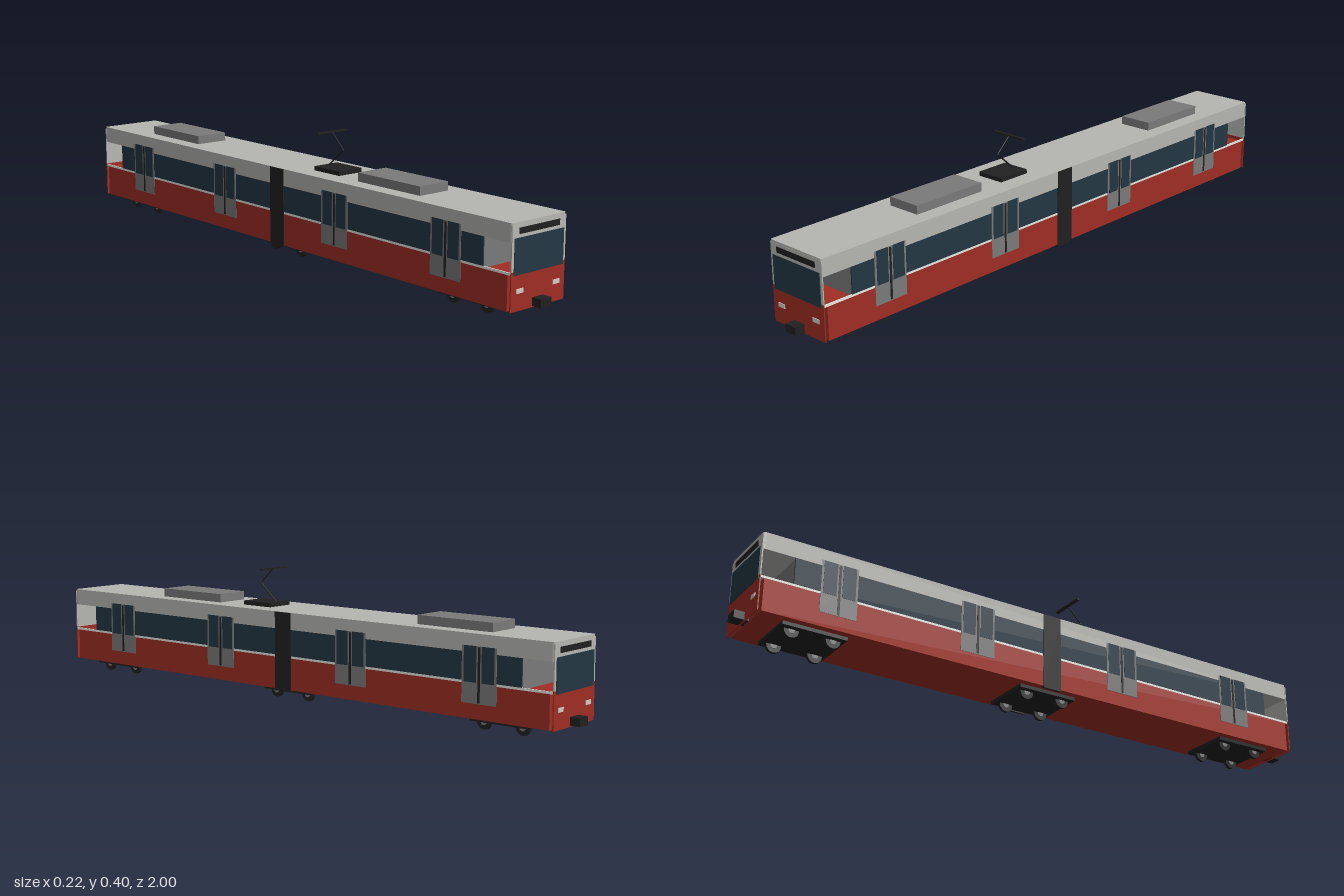
import * as THREE from 'three';

const mat = (name, color) => {
  const m = new THREE.MeshStandardMaterial({ color });
  m.name = name;
  return m;
};

export function createModel() {
  const tram = new THREE.Group();
  tram.name = 'tram';
  const red = mat('red paint', 0xa02d24);
  const pale = mat('pale grey paint', 0xb6b6b2);
  const white = mat('white trim', 0xe8e8e4);
  const glass = mat('dark glass', 0x243744);
  const grey = mat('mid grey', 0x7a7a7a);
  const black = mat('black', 0x202021);
  const lamp = mat('lamp', 0xd2cec4);

  // box given by its limits on each axis
  const box = (name, m, [x0, x1], [y0, y1], [z0, z1], parent = tram) => {
    const mesh = new THREE.Mesh(new THREE.BoxGeometry(x1 - x0, y1 - y0, z1 - z0), m);
    mesh.position.set((x0 + x1) / 2, (y0 + y1) / 2, (z0 + z1) / 2);
    mesh.name = name;
    parent.add(mesh);
    return mesh;
  };
  const rod = (name, m, a, b, r) => {
    const mesh = new THREE.Mesh(new THREE.CylinderGeometry(r, r, a.distanceTo(b), 8), m);
    mesh.position.copy(a).lerp(b, 0.5);
    mesh.quaternion.setFromUnitVectors(new THREE.Vector3(0, 1, 0), b.clone().sub(a).normalize());
    mesh.name = name;
    tram.add(mesh);
  };

  // body: red lower hull, saloon core and roof
  box('lowerBody', red, [-0.106, 0.106], [0.036, 0.136], [-0.955, 0.955]);
  box('saloonCore', grey, [-0.104, 0.104], [0.136, 0.225], [-0.864, 0.864]);

  const w = 0.107, l = 0.968, r = 0.008;
  const outline = new THREE.Shape();
  outline.moveTo(-w + r, -l);
  outline.lineTo(w - r, -l);
  outline.quadraticCurveTo(w, -l, w, -l + r);
  outline.lineTo(w, l - r);
  outline.quadraticCurveTo(w, l, w - r, l);
  outline.lineTo(-w + r, l);
  outline.quadraticCurveTo(-w, l, -w, l - r);
  outline.lineTo(-w, -l + r);
  outline.quadraticCurveTo(-w, -l, -w + r, -l);
  const roofGeo = new THREE.ExtrudeGeometry(outline, { depth: 0.053, bevelEnabled: false, curveSegments: 4 });
  roofGeo.rotateX(-Math.PI / 2);
  const roof = new THREE.Mesh(roofGeo, pale);
  roof.position.y = 0.225;
  roof.name = 'roof';
  tram.add(roof);

  // sides: window band, belt trim, doors and the joint cover
  for (const s of [1, -1]) {
    const side = new THREE.Group();
    side.name = s > 0 ? 'leftSide' : 'rightSide';
    tram.add(side);
    const plate = (name, m, x, y, z) => {
      const xs = s > 0 ? [0.102, x] : [-x, -0.102];
      return box(name, m, xs, y, z, side);
    };
    plate('windowBand', glass, 0.106, [0.143, 0.225], [-0.866, 0.866]);
    plate('beltTrim', white, 0.1058, [0.136, 0.143], [-0.966, 0.966]);
    plate('jointCover', black, 0.1085, [0.03, 0.2775], [-0.032, 0.032]);
    for (const z of [-0.727, -0.267, 0.267, 0.727]) {
      plate('door', grey, 0.1075, [0.08, 0.243], [z - 0.058, z + 0.058]);
      plate('doorSeam', black, 0.108, [0.083, 0.24], [z - 0.004, z + 0.004]);
      for (const k of [-1, 1])
        plate('doorWindow', glass, 0.1083, [0.14, 0.243], [z + k * 0.03 - 0.021, z + k * 0.03 + 0.021]);
    }
  }

  // both ends, the rear one turned around
  for (const turn of [0, Math.PI]) {
    const end = new THREE.Group();
    end.name = turn ? 'rearEnd' : 'frontEnd';
    end.rotation.y = turn;
    tram.add(end);
    box('endPanel', pale, [-0.107, 0.107], [0.145, 0.272], [0.965, 0.9685], end);
    box('endApron', red, [-0.107, 0.107], [0.035, 0.145], [0.965, 0.9685], end);
    box('windscreen', glass, [-0.098, 0.098], [0.135, 0.236], [0.966, 0.9705], end);
    box('signPanel', black, [-0.08, 0.08], [0.246, 0.263], [0.966, 0.9705], end);
    for (const s of [-1, 1])
      box('headlight', lamp, [s * 0.0725 - 0.0135, s * 0.0725 + 0.0135], [0.084, 0.097], [0.966, 0.9705], end);
    box('coupler', black, [-0.021, 0.021], [0.039, 0.063], [0.95, 1.0], end);
  }

  // bogies with wheels
  for (const z of [-0.781, 0, 0.781]) {
    box('bogieFrame', black, [-0.083, 0.083], [0.025, 0.037], [z - 0.1, z + 0.1]);
    for (const dz of [-0.064, 0.064])
      for (const s of [-1, 1]) {
        for (const [name, m, rad, len] of [['wheel', black, 0.023, 0.01], ['wheelHub', grey, 0.01, 0.013]]) {
          const wheel = new THREE.Mesh(new THREE.CylinderGeometry(rad, rad, len, 16), m);
          wheel.rotation.z = Math.PI / 2;
          wheel.position.set(s * 0.059, 0.023, z + dz);
          wheel.name = name;
          tram.add(wheel);
        }
      }
  }

  // roof equipment
  for (const z of [0.445, -0.607])
    box('roofUnit', grey, [-0.056, 0.056], [0.278, 0.305], [z - 0.13, z + 0.13]);
  box('pantographBase', black, [-0.046, 0.046], [0.278, 0.291], [0.107, 0.22]);
  const foot = new THREE.Vector3(0, 0.288, 0.118);
  const knee = new THREE.Vector3(0, 0.348, 0.187);
  const head = new THREE.Vector3(0, 0.396, 0.135);
  rod('lowerArm', black, foot, knee, 0.0025);
  rod('upperArm', black, knee, head, 0.002);
  box('contactBar', black, [-0.06, 0.06], [0.394, 0.399], [0.13, 0.14]);

  return tram;
}
